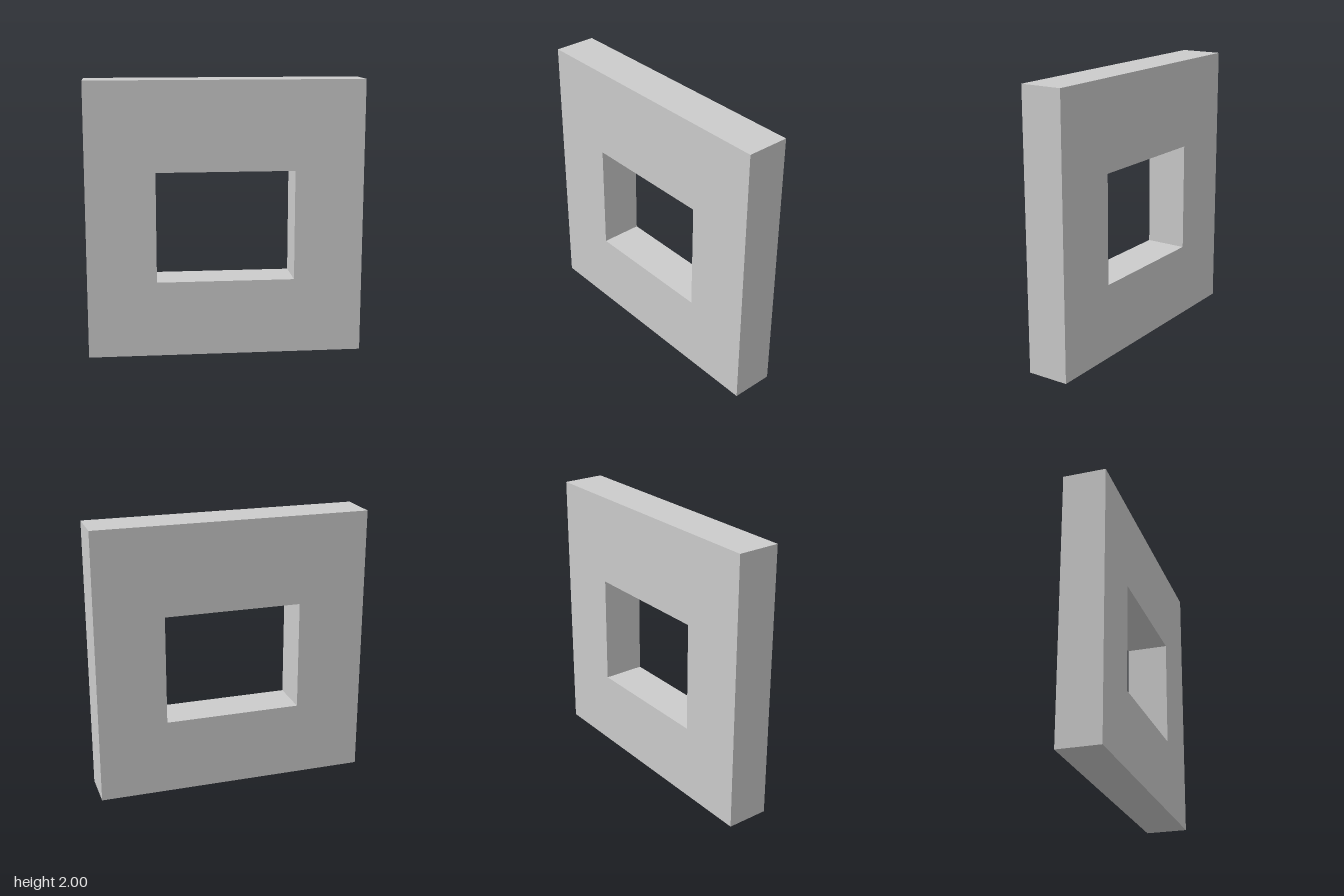
import * as THREE from 'three';

const SIZE = 2, DEPTH = 0.31;

// Closed rectangular outline from its corners
function rectangle(target, x0, y0, x1, y1) {
  target.moveTo(x0, y0);
  target.lineTo(x1, y0);
  target.lineTo(x1, y1);
  target.lineTo(x0, y1);
  target.closePath();
  return target;
}

export function createModel() {
  const group = new THREE.Group();
  group.name = 'wallWithWindow';

  // Square wall panel with a rectangular window opening
  const outline = rectangle(new THREE.Shape(), -SIZE / 2, 0, SIZE / 2, SIZE);
  outline.holes.push(rectangle(new THREE.Path(), -0.5, 0.55, 0.5, 1.35));

  const geometry = new THREE.ExtrudeGeometry(outline, { depth: DEPTH, bevelEnabled: false });
  geometry.translate(0, 0, -DEPTH / 2);

  const wall = new THREE.Mesh(geometry, new THREE.MeshStandardMaterial({ color: 0xcccccc }));
  wall.name = 'wall';
  group.add(wall);
  return group;
}
